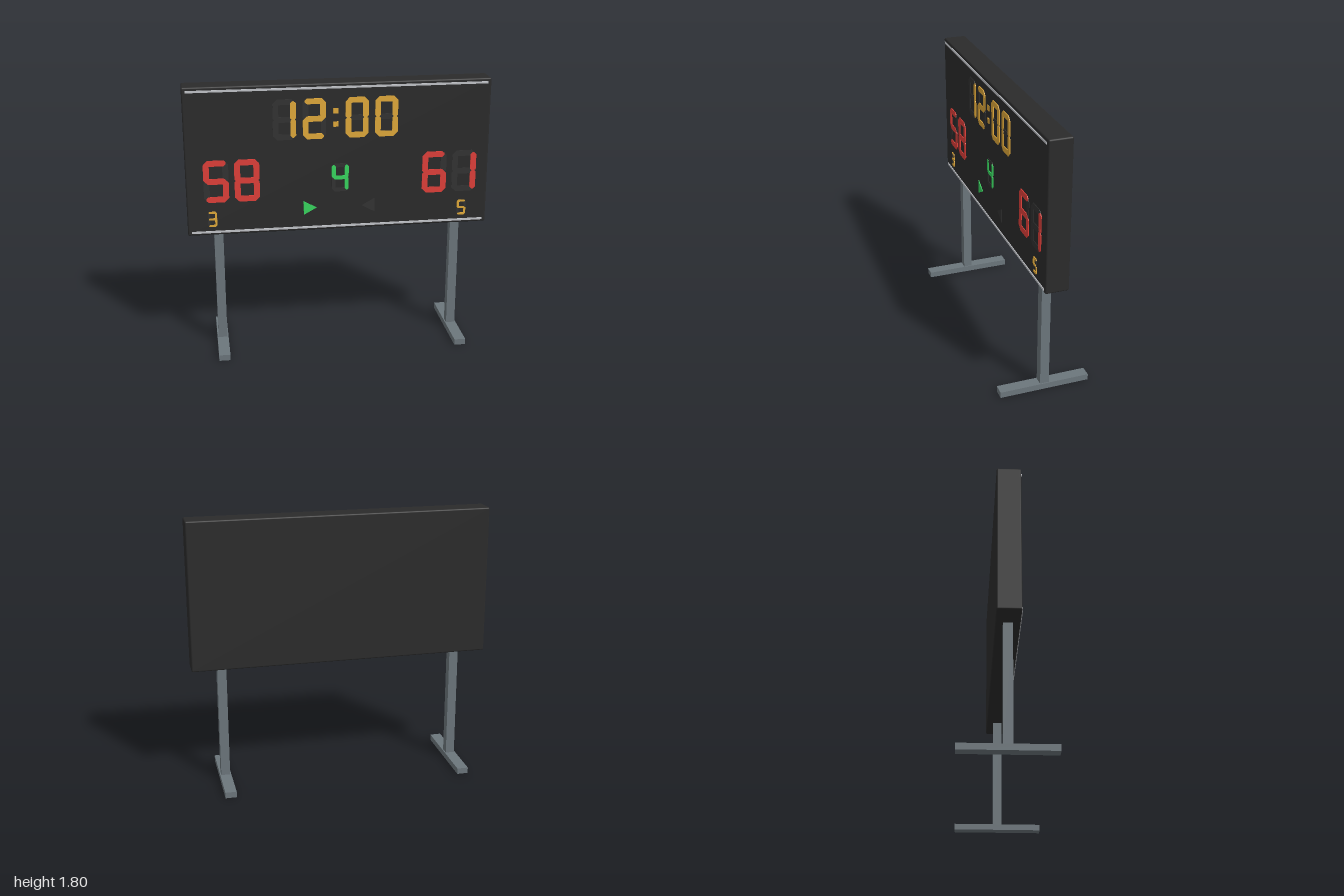
import * as THREE from 'three';
import { RoundedBoxGeometry } from 'three/addons/geometries/RoundedBoxGeometry.js';

const FRONT = 0.0765; // z of the cabinet face
const THIN = 0.005; // thickness of the display pieces

function material(name, color) {
  const m = new THREE.MeshStandardMaterial({ color });
  m.name = name;
  return m;
}

function add(parent, name, geometry, mat, x = 0, y = 0, z = 0) {
  const mesh = new THREE.Mesh(geometry, mat);
  mesh.name = name;
  mesh.position.set(x, y, z);
  parent.add(mesh);
  return mesh;
}

// Thin plate cut from an outline of [x, y] points
function plate(points) {
  const shape = new THREE.Shape(points.map(([x, y]) => new THREE.Vector2(x, y)));
  return new THREE.ExtrudeGeometry(shape, { depth: THIN, bevelEnabled: false });
}

// Display bar with chamfered ends, lying along x
function bar(length, thick) {
  const l = length / 2, t = thick / 2, c = t * 0.75;
  return plate([[-l, -t + c], [-l + c, -t], [l - c, -t], [l, -t + c],
    [l, t - c], [l - c, t], [-l + c, t], [-l, t - c]]);
}

// Lit bars for each numeral: top, upper right, lower right, bottom, lower left, upper left, middle
const LIT = {
  0: '1111110', 1: '0110000', 2: '1101101', 3: '1111001', 4: '0110011',
  5: '1011011', 6: '1011111', 8: '1111111',
};

function numeral(parent, name, value, x, y, w, h, t, lit, unlit) {
  const group = new THREE.Group();
  group.name = name;
  group.position.set(x, y, FRONT);
  const sx = (w - t) / 2, sy = (h - t) / 2;
  const across = bar(w - t * 0.75, t);
  const upright = bar(sy + t * 0.25, t).rotateZ(Math.PI / 2);
  const places = [
    [0, sy, across], [sx, sy / 2, upright], [sx, -sy / 2, upright], [0, -sy, across],
    [-sx, -sy / 2, upright], [-sx, sy / 2, upright], [0, 0, across],
  ];
  places.forEach(([px, py, geometry], i) => {
    const on = LIT[value][i] === '1';
    add(group, on ? 'litBar' : 'unlitBar', geometry, on ? lit : unlit, px, py, on ? 0 : -0.002);
  });
  parent.add(group);
}

export function createModel() {
  const model = new THREE.Group();
  model.name = 'scoreboard';

  const black = material('cabinet black', 0x2b2b2b);
  const unlit = material('unlit grey', 0x333333);
  const steel = material('steel grey', 0x6c767c);
  const silver = material('trim silver', 0xc4c6cb);
  const amber = material('amber light', 0xe2aa3a);
  const red = material('red light', 0xe2403a);
  const green = material('green light', 0x38d860);

  // Cabinet
  add(model, 'cabinet', new RoundedBoxGeometry(2, 0.99, FRONT * 2, 2, 0.01), black, 0, 1.305);

  // Trim strips along the top and bottom of the face
  for (const y of [1.772, 0.832]) {
    add(model, 'trimStrip', new THREE.BoxGeometry(1.95, 0.014, 0.006), silver, 0, y, FRONT + 0.002);
  }

  // Posts and feet
  for (const x of [-0.8, 0.8]) {
    add(model, 'post', new THREE.BoxGeometry(0.06, 0.79, 0.06), steel, x, 0.425);
    add(model, 'foot', new THREE.BoxGeometry(0.075, 0.04, 0.6), steel, x, 0.02);
  }

  // Clock
  [[1, -0.356], [2, -0.163], [0, 0.115], [0, 0.308]].forEach(([v, x]) =>
    numeral(model, 'clockNumeral', v, x, 1.571, 0.15, 0.268, 0.037, amber, unlit));
  for (const y of [1.619, 1.531]) {
    add(model, 'clockDot', new THREE.BoxGeometry(0.033, 0.035, THIN), amber, -0.024, y, FRONT + THIN / 2);
  }

  // Scores
  [[5, -0.805], [8, -0.605], [6, 0.635], [1, 0.837]].forEach(([v, x]) =>
    numeral(model, 'scoreNumeral', v, x, 1.177, 0.163, 0.284, 0.039, red, unlit));

  // Period
  numeral(model, 'periodNumeral', 4, 0.005, 1.169, 0.112, 0.192, 0.026, green, unlit);

  // Foul counts
  numeral(model, 'foulNumeral', 3, -0.837, 0.92, 0.06, 0.105, 0.014, amber, unlit);
  numeral(model, 'foulNumeral', 5, 0.829, 0.92, 0.06, 0.105, 0.014, amber, unlit);

  // Possession arrows
  add(model, 'leftArrow', plate([[-0.238, -0.047], [-0.152, 0], [-0.238, 0.047]]), green, 0, 0.968, FRONT);
  add(model, 'rightArrow', plate([[0.235, -0.047], [0.235, 0.047], [0.152, 0]]), unlit, 0, 0.968, FRONT);

  return model;
}
